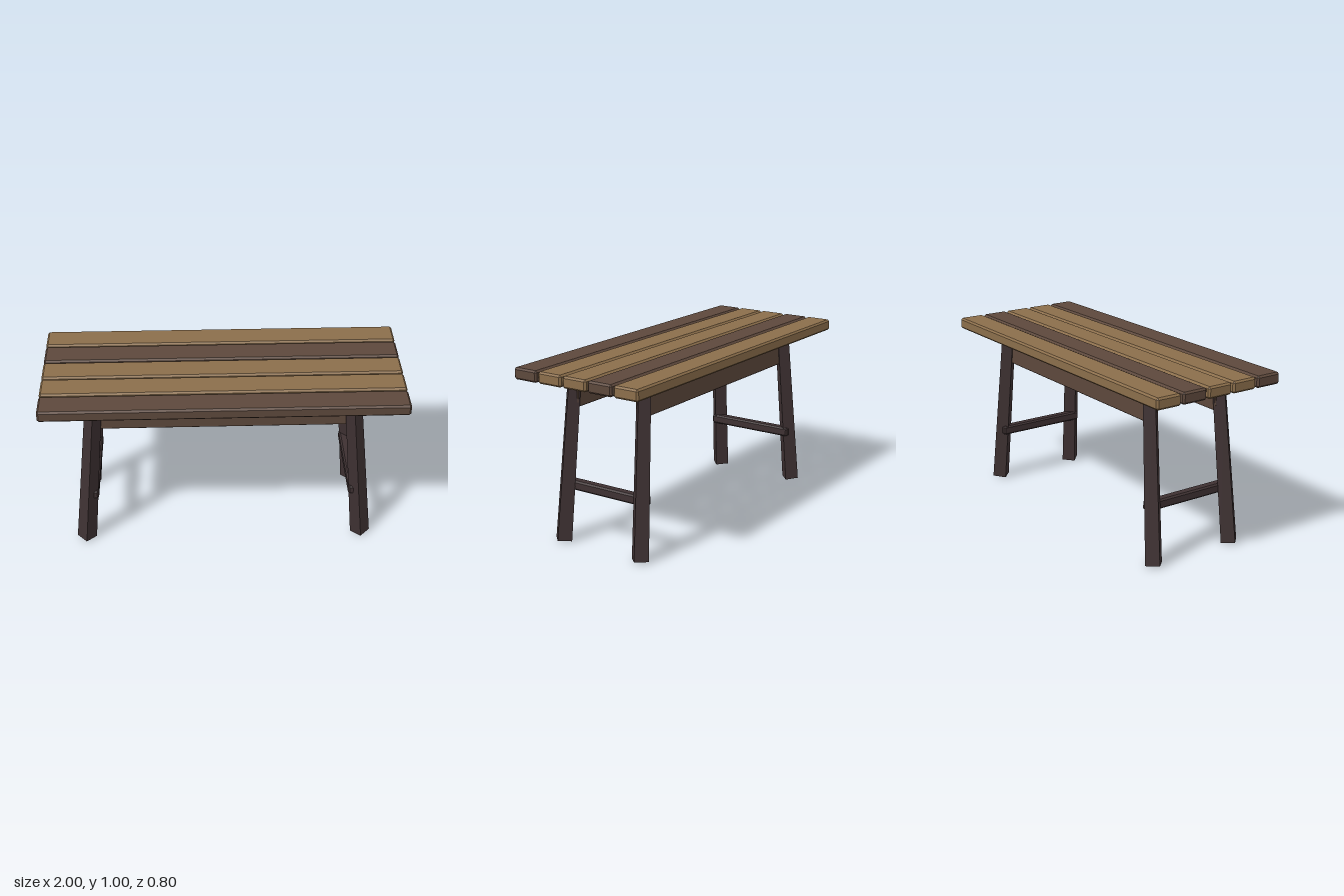
import * as THREE from 'three';
import { ConvexGeometry } from 'three/addons/geometries/ConvexGeometry.js';

const lightWood = new THREE.MeshStandardMaterial({ color: 0x8b6e4b });
lightWood.name = 'light wood';
const brownWood = new THREE.MeshStandardMaterial({ color: 0x5d483c });
brownWood.name = 'brown wood';
const darkWood = new THREE.MeshStandardMaterial({ color: 0x3e3132 });
darkWood.name = 'dark wood';

// Box with every edge and corner cut at 45 degrees
function chamferedBox(w, h, d, bevel) {
  const points = [];
  const [x, y, z] = [w / 2, h / 2, d / 2];
  for (const sx of [-1, 1]) for (const sy of [-1, 1]) for (const sz of [-1, 1]) {
    points.push(
      new THREE.Vector3(sx * x, sy * (y - bevel), sz * (z - bevel)),
      new THREE.Vector3(sx * (x - bevel), sy * y, sz * (z - bevel)),
      new THREE.Vector3(sx * (x - bevel), sy * (y - bevel), sz * z)
    );
  }
  return new ConvexGeometry(points);
}

export function createModel() {
  const model = new THREE.Group();
  model.name = 'plankTable';

  function add(name, geometry, material, x, y, z) {
    const mesh = new THREE.Mesh(geometry, material);
    mesh.name = name;
    mesh.position.set(x, y, z);
    model.add(mesh);
    return mesh;
  }

  // Top: five spaced planks, from back to front
  const plank = chamferedBox(2, 0.065, 0.152, 0.01);
  [lightWood, brownWood, lightWood, lightWood, brownWood].forEach((wood, i) => {
    add(`plank${i + 1}`, plank, wood, 0, 0.9725, (i - 2) * 0.163);
  });

  // Aprons under the top, running into the legs
  const apron = chamferedBox(1.47, 0.183, 0.033, 0.004);
  add('frontApron', apron, brownWood, 0, 0.85, 0.208);
  add('backApron', apron, brownWood, 0, 0.85, -0.208);

  // Splayed legs: tapered four-sided posts set corner-on
  const up = new THREE.Vector3(0, 1, 0);
  for (const sx of [-1, 1]) {
    const side = sx > 0 ? 'Left' : 'Right';
    for (const sz of [-1, 1]) {
      const foot = new THREE.Vector3(sx * 0.803, 0.006, sz * 0.261);
      const head = new THREE.Vector3(sx * 0.711, 0.937, sz * 0.229);
      const axis = head.clone().sub(foot);
      const post = new THREE.CylinderGeometry(0.046, 0.056, axis.length(), 4).toNonIndexed();
      post.computeVertexNormals();
      const middle = foot.add(head).multiplyScalar(0.5);
      const leg = add((sz > 0 ? 'front' : 'back') + side + 'Leg', post, darkWood, ...middle.toArray());
      leg.quaternion.setFromUnitVectors(up, axis.normalize());
    }
    // Stretcher joining each pair of legs
    add('stretcher' + side, chamferedBox(0.056, 0.054, 0.55, 0.009), darkWood, sx * 0.744, 0.321, 0);
  }

  return model;
}
